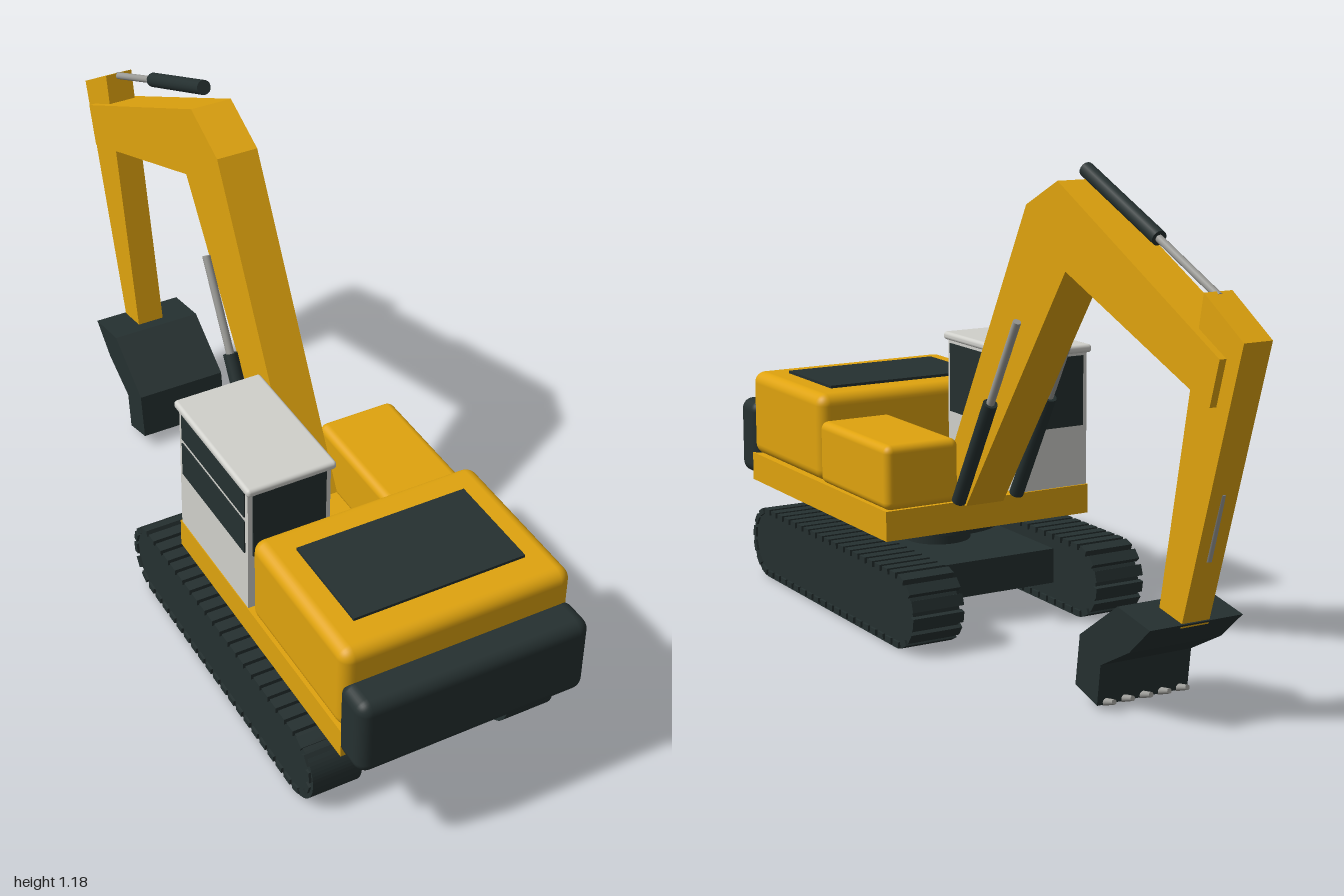
import * as THREE from 'three';
import { RoundedBoxGeometry } from 'three/addons/geometries/RoundedBoxGeometry.js';

const mat = (name, color) => {
  const m = new THREE.MeshStandardMaterial({ color });
  m.name = name;
  return m;
};

export function createModel() {
  const gold = mat('gold paint', 0xdfa30e);
  const dark = mat('dark steel', 0x253030);
  const light = mat('cab grey', 0xd0d0cb);
  const steel = mat('bare steel', 0x9a9a96);
  const root = new THREE.Group();
  root.name = 'excavator';
  const armX = 0.031; // centre line of the digging arm

  const add = (name, geometry, material, parent = root) => {
    const mesh = new THREE.Mesh(geometry, material);
    mesh.name = name;
    parent.add(mesh);
    return mesh;
  };
  // Box given by its limits on each axis, optionally rounded
  const box = (name, material, [x0, x1], [y0, y1], [z0, z1], r = 0, parent = root) => {
    const size = [x1 - x0, y1 - y0, z1 - z0];
    const g = r ? new RoundedBoxGeometry(...size, 4, r) : new THREE.BoxGeometry(...size);
    g.translate((x0 + x1) / 2, (y0 + y1) / 2, (z0 + z1) / 2);
    return add(name, g, material, parent);
  };
  // Side outline in the z-y plane, extruded across x
  const plate = (name, material, shape, width, x, parent = root) => {
    const g = new THREE.ExtrudeGeometry(shape, { depth: width, bevelEnabled: false, curveSegments: 16 });
    g.translate(0, 0, -width / 2).rotateY(Math.PI / 2).translate(x, 0, 0);
    return add(name, g, material, parent);
  };
  const outline = (pts) => new THREE.Shape(pts.map(([z, y]) => new THREE.Vector2(-z, y)));
  // Round bar between two z-y points at a fixed x
  const bar = (name, material, x, a, b, r0, r1 = r0, parent = root) => {
    const p = new THREE.Vector3(x, a[1], a[0]);
    const q = new THREE.Vector3(x, b[1], b[0]);
    const d = q.clone().sub(p);
    const m = add(name, new THREE.CylinderGeometry(r1, r0, d.length(), 16), material, parent);
    m.position.copy(p).add(q).multiplyScalar(0.5);
    m.quaternion.setFromUnitVectors(new THREE.Vector3(0, 1, 0), d.normalize());
    return m;
  };

  // Crawler tracks: solid loop with a ring of shoes
  const loop = new THREE.Shape();
  loop.absarc(-0.03, 0.09, 0.09, -Math.PI / 2, Math.PI / 2);
  loop.absarc(-0.76, 0.09, 0.09, Math.PI / 2, Math.PI * 1.5);
  loop.closePath();
  const run = 0.73, rad = 0.085, arc = Math.PI * rad, shoes = 50;
  for (const s of [-1, 1]) {
    const track = new THREE.Group();
    track.name = s > 0 ? 'leftTrack' : 'rightTrack';
    root.add(track);
    plate('trackLoop', dark, loop, 0.126, s * 0.257, track);
    const shoeGeometry = new THREE.BoxGeometry(0.138, 0.015, 0.028);
    for (let i = 0; i < shoes; i++) {
      let t = (i / shoes) * 2 * (run + arc);
      const far = t >= run + arc;
      if (far) t -= run + arc;
      // Half a loop: the top run toward -z, then the rounded end
      const a = Math.max(0, t - run) / rad;
      let z = run / 2 - Math.min(t, run) - rad * Math.sin(a);
      let y = rad * Math.cos(a);
      if (far) { z = -z; y = -y; }
      const shoe = add('trackShoe', shoeGeometry, dark, track);
      shoe.position.set(s * 0.257, 0.0975 + y, 0.385 + z);
      shoe.rotation.x = -a + (far ? Math.PI : 0);
    }
  }

  // Undercarriage and slewing ring
  box('undercarriageFrame', dark, [-0.2, 0.2], [0.06, 0.15], [0.14, 0.64]);
  const cylinder = (name, r, y0, y1) =>
    add(name, new THREE.CylinderGeometry(r, r, y1 - y0, 40).translate(0, (y0 + y1) / 2, 0.4), dark);
  cylinder('slewPedestal', 0.085, 0.14, 0.2);
  cylinder('slewRing', 0.161, 0.192, 0.24);

  // Upper structure
  box('deck', gold, [-0.29, 0.29], [0.235, 0.31], [0.13, 0.915]);
  box('engineHousing', gold, [-0.29, 0.288], [0.308, 0.535], [0.492, 0.918], 0.03);
  box('sideHousing', gold, [0.085, 0.288], [0.308, 0.47], [0.13, 0.502], 0.02);
  box('hoodPanel', dark, [-0.217, 0.217], [0.534, 0.542], [0.575, 0.83]);
  box('counterweight', dark, [-0.292, 0.29], [0.245, 0.45], [0.895, 1.0], 0.03);

  // Cab with thin window panes
  const cab = new THREE.Group();
  cab.name = 'cab';
  root.add(cab);
  box('cabShell', light, [-0.288, -0.078], [0.31, 0.655], [0.135, 0.478], 0, cab);
  box('cabRoof', light, [-0.297, -0.071], [0.652, 0.673], [0.122, 0.495], 0.009, cab);
  box('frontWindow', dark, [-0.276, -0.09], [0.465, 0.645], [0.132, 0.137], 0, cab);
  box('rearWindow', dark, [-0.276, -0.09], [0.465, 0.645], [0.476, 0.481], 0, cab);
  box('innerSideWindow', dark, [-0.08, -0.075], [0.465, 0.645], [0.15, 0.465], 0, cab);
  box('upperSideWindow', dark, [-0.291, -0.286], [0.575, 0.645], [0.15, 0.465], 0, cab);
  box('lowerSideWindow', dark, [-0.291, -0.286], [0.47, 0.562], [0.15, 0.465], 0, cab);

  // Digging arm
  plate('boom', gold, outline([
    [0.23, 0.325], [0.1, 0.305], [-0.355, 0.94], [-0.91, 0.725], [-0.942, 0.83], [-0.32, 1.14], [-0.185, 1.075],
  ]), 0.106, armX);
  plate('stick', gold, outline([
    [-0.715, 0.25], [-0.797, 0.225], [-1.0, 0.87], [-0.86, 0.955],
  ]), 0.072, armX);
  plate('bucket', dark, outline([
    [-0.68, 0.257], [-0.53, 0.155], [-0.513, 0.035], [-0.602, 0.01], [-0.615, 0.107], [-0.727, 0.166], [-0.805, 0.235],
  ]), 0.242, armX);
  for (let i = -2; i <= 2; i++) {
    bar('bucketTooth', steel, armX + i * 0.049, [-0.595, 0.014], [-0.636, 0.025], 0.009, 0.006);
  }

  // Hydraulic rams
  for (const s of [-1, 1]) {
    const x = armX + s * 0.082;
    bar('boomRamBarrel', dark, x, [0.085, 0.325], [-0.07, 0.594], 0.018);
    bar('boomRamRod', steel, x, [-0.06, 0.577], [-0.193, 0.807], 0.01);
  }
  bar('stickRamBarrel', dark, armX, [-0.357, 1.166], [-0.645, 1.042], 0.018);
  bar('stickRamRod', steel, armX, [-0.635, 1.046], [-0.865, 0.944], 0.009);
  bar('bucketRamRod', steel, armX, [-0.887, 0.535], [-0.84, 0.38], 0.009);

  return root;
}
